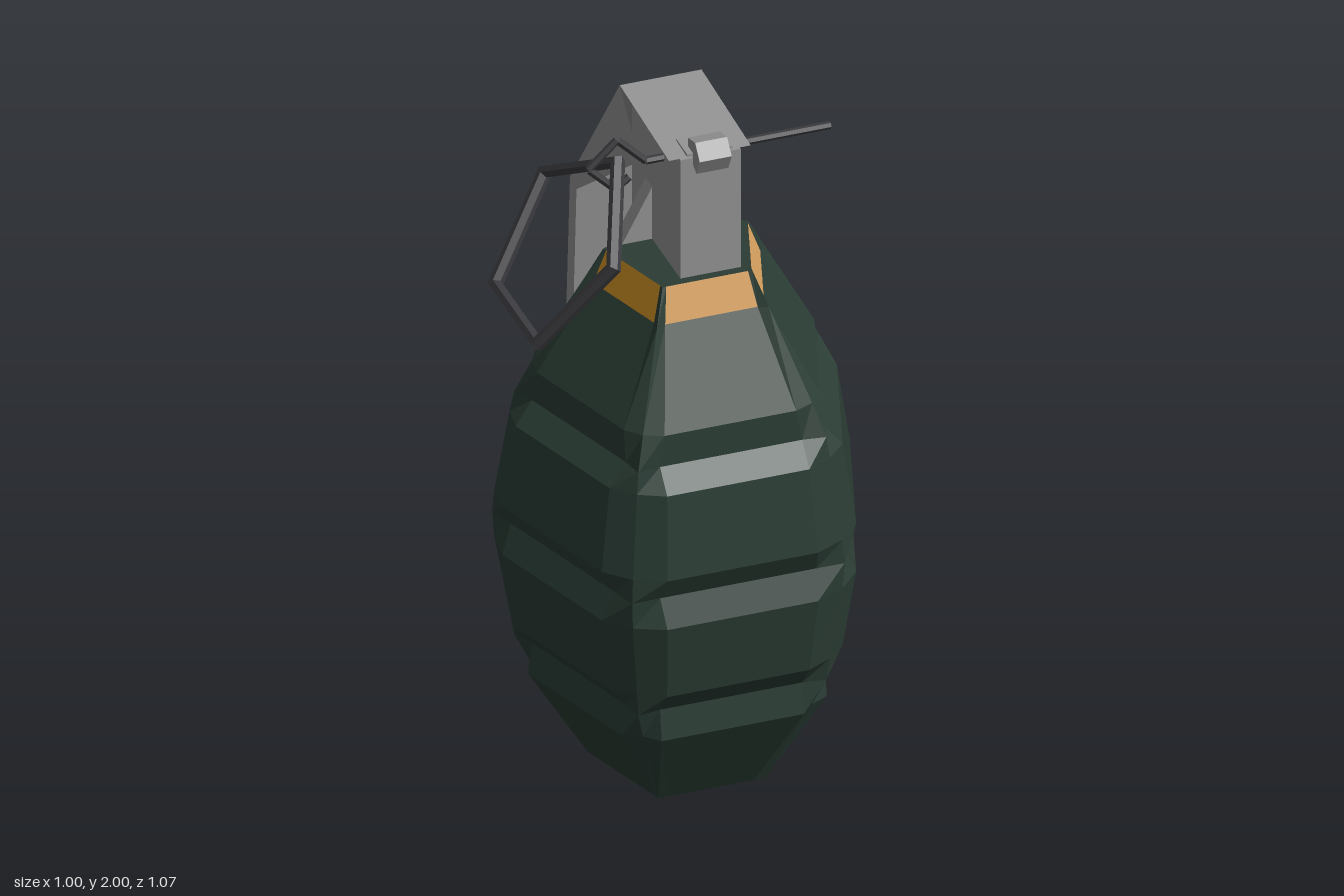
import * as THREE from 'three';

const mat = (name, color, side = THREE.FrontSide) => {
  const m = new THREE.MeshStandardMaterial({ color, side });
  m.name = name;
  return m;
};

export function createModel() {
  const group = new THREE.Group();
  const green = mat('dark green', 0x2b3d35);
  const steel = mat('grey steel', 0x959595, THREE.DoubleSide);
  const dark = mat('dark metal', 0x3c3b3f);
  const tan = mat('tan band', 0xd8a260);
  const gold = mat('gold band', 0xc78b22);

  const add = (name, geo, material) => {
    const g = geo.index ? geo.toNonIndexed() : geo;
    g.computeVertexNormals(); // faceted look
    const mesh = new THREE.Mesh(g, material);
    mesh.name = name;
    group.add(mesh);
    return mesh;
  };
  const fromTriangles = (pts) => new THREE.BufferGeometry().setFromPoints(pts);
  const V = (x, y, z) => new THREE.Vector3(x, y, z);

  // ---- Body: five-sided stack of raised pads ----
  // each ring: height, corner radius, pad distance from axis, pad half width
  const rings = [
    [0.05, 0, 0, 0],
    [0.05, 0.19, 0.153, 0.09],
    [0, 0.19, 0.153, 0.09],
    [0, 0.255, 0.205, 0.12],
    [0.28, 0.405, 0.368, 0.2],
    [0.37, 0.45, 0.355, 0.2],
    [0.44, 0.462, 0.41, 0.2],
    [0.67, 0.502, 0.445, 0.212],
    [0.75, 0.508, 0.41, 0.22],
    [0.82, 0.502, 0.445, 0.212],
    [1.06, 0.462, 0.41, 0.2],
    [1.12, 0.45, 0.355, 0.2],
    [1.21, 0.405, 0.35, 0.185],
    [1.46, 0.268, 0.205, 0.13],
    [1.555, 0.215, 0.172, 0.115],
    [1.555, 0, 0, 0],
  ];
  const ringPoints = ([y, R, a, w]) => {
    const pts = [];
    for (let f = 0; f < 5; f++) {
      const t = f * Math.PI * 0.4, s = Math.sin(t), c = Math.cos(t);
      const k = t + Math.PI * 0.2;
      pts.push(V(0.01 + a * s - w * c, y, 0.09 + a * c + w * s));
      pts.push(V(0.01 + a * s + w * c, y, 0.09 + a * c - w * s));
      pts.push(V(0.01 + R * Math.sin(k), y, 0.09 + R * Math.cos(k)));
    }
    return pts;
  };
  const parts = {
    body: [green, []], baseRecessWall: [steel, []], baseRecessFloor: [dark, []],
    neckBandTan: [tan, []], neckBandGold: [gold, []],
  };
  for (let r = 0; r < rings.length - 1; r++) {
    const lo = ringPoints(rings[r]), hi = ringPoints(rings[r + 1]);
    for (let i = 0; i < 15; i++) {
      const j = (i + 1) % 15;
      let key = 'body';
      if (r === 0) key = 'baseRecessFloor';
      else if (r === 1) key = 'baseRecessWall';
      else if (r === 13 && i % 3 === 0) key = i >= 9 ? 'neckBandGold' : 'neckBandTan';
      const out = parts[key][1];
      if (rings[r][1] > 0) out.push(lo[i], lo[j], hi[j]);
      if (rings[r + 1][1] > 0) out.push(lo[i], hi[j], hi[i]);
    }
  }
  for (const [name, [material, pts]] of Object.entries(parts)) add(name, fromTriangles(pts), material);

  // ---- Fuze block with side fins ----
  const block = new THREE.BoxGeometry(0.17, 0.365, 0.37);
  block.translate(0.015, 1.7625, 0.09);
  add('fuzeBlock', block, steel);

  const extrude = (pts, depth) => new THREE.ExtrudeGeometry(
    new THREE.Shape(pts.map(([x, y]) => new THREE.Vector2(x, y))), { depth, bevelEnabled: false });
  const fins = extrude([[-0.155, 1.58], [0.18, 1.58], [0.1, 1.74], [-0.07, 1.74]], 0.05);
  fins.translate(0, 0, 0.01);
  add('sideFins', fins, steel);

  // ---- Safety lever: bent sheet with folded side flanges, profile in [z, y] ----
  const x0 = -0.102, x1 = 0.128;
  const sheet = [[-0.485, 0.41], [-0.535, 0.65], [-0.48, 1.47], [-0.1, 1.97], [0.275, 1.95]];
  const lever = [];
  const quad = (a, b, c, d) => lever.push(a, b, c, a, c, d);
  for (let i = 0; i < sheet.length - 1; i++) {
    const [za, ya] = sheet[i], [zb, yb] = sheet[i + 1];
    quad(V(x1, ya, za), V(x0, ya, za), V(x0, yb, zb), V(x1, yb, zb));
  }
  const inner = [[-0.48, 0.655], [-0.43, 1.46], [0.05, 1.82]];
  for (let i = 0; i < 2; i++) {
    const loop = [inner[i], sheet[i + 1], sheet[i + 2], inner[i + 1]];
    const at = (x) => loop.map(([z, y]) => V(x, y, z));
    quad(...at(x1));
    quad(...at(x0).reverse());
  }
  add('safetyLever', fromTriangles(lever), steel);

  // front catch on top of the lever, profile in [z, y] swept along x
  const hook = extrude([[0.325, 1.96], [0.29, 2], [0.235, 1.985], [0.235, 1.945], [0.3, 1.91]], 0.09);
  hook.rotateY(-Math.PI / 2);
  hook.translate(0.056, 0, 0);
  add('leverCatch', hook, steel);
  const tab = new THREE.BoxGeometry(0.127, 0.008, 0.085);
  tab.translate(0.013, 1.955, 0.232);
  add('catchPlate', tab, steel);

  // ---- Pin with bent eye ----
  const pinPts = [[0.4, 1.88], [-0.12, 1.88], [-0.2, 1.96], [-0.28, 1.885], [-0.205, 1.81], [-0.165, 1.84]];
  const pinPath = new THREE.CurvePath();
  for (let i = 0; i < pinPts.length - 1; i++) {
    pinPath.add(new THREE.LineCurve3(V(...pinPts[i], 0.143), V(...pinPts[i + 1], 0.143)));
  }
  pinPath.curves.forEach((c, i) => add('pin' + (i ? 'Eye' + i : 'Rod'),
    new THREE.TubeGeometry(c, 1, 0.011, 6, false), dark));

  // ---- Five-sided pull ring ----
  const ring = add('pullRing', new THREE.TorusGeometry(0.275, 0.021, 6, 5), dark);
  const up = V(0.57, 0.82, 0).normalize(), across = V(0, 0, 1);
  ring.quaternion.setFromRotationMatrix(
    new THREE.Matrix4().makeBasis(up, across, up.clone().cross(across)));
  ring.position.set(-0.355, 1.667, 0.145);

  return group;
}
